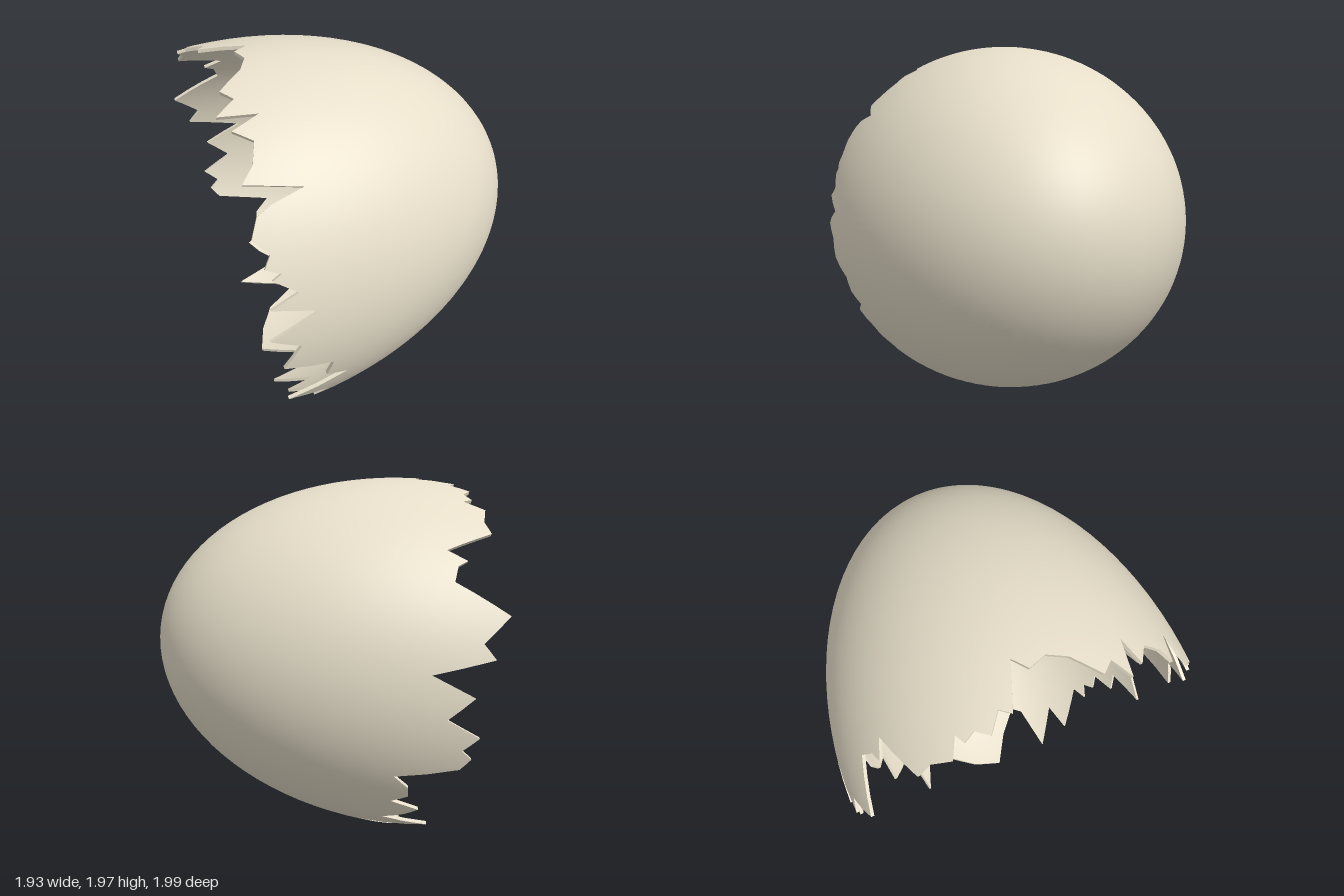
import * as THREE from 'three';

// Egg: half ellipsoid around a tilted axis, LENGTH to the pole, RADIUS at the equator
const LENGTH = 1.5, RADIUS = 0.985, THICKNESS = 0.018, ROWS = 24;
const CENTRE = new THREE.Vector3(-0.39, 0.99, -0.16);
const AXIS = new THREE.Vector3(0.819, 0.16, 0.55).normalize();
const SIDE = new THREE.Vector3(-AXIS.z, 0, AXIS.x).normalize();
const UP = new THREE.Vector3().crossVectors(SIDE, AXIS).multiplyScalar(-1);
if (UP.y < 0) UP.negate();

// Broken edge: [angle round the axis in degrees, distance from the equator]
const LOWER_EDGE = [
  [-174.5, 0.17], [-170, -0.01], [-165.5, 0.06], [-163, 0], [-159, 0.04], [-153, 0.34],
  [-149, 0.25], [-145, 0.23], [-141, 0.3], [-138, 0.14], [-133.5, 0.19], [-128, 0.28],
  [-124, 0.01], [-116, 0.34], [-110, 0.14], [-102, 0.05], [-93, 0], [-87, 0.17],
  [-80, 0.3], [-77, 0.26], [-74.5, 0], [-66, 0.21], [-63.5, 0.05], [-53.5, 0.25],
  [-51, 0.17], [-49, 0.245], [-46, 0.2], [-42.8, 0.26], [-39, 0.14], [-35, 0.21],
  [-30, 0], [-25, 0.31], [-21, 0.2], [-15.4, 0.24], [-10, 0], [-3.3, 0.1],
];
const UPPER_EDGE = [
  [1.5, -0.035], [6, 0.22], [10.7, 0], [13.2, 0.14], [18.3, 0.04], [19.5, 0.085],
  [21.7, 0.02], [25, 0.06], [29.7, 0], [35, 0.05], [37, 0.13], [39, 0.285],
  [43.6, 0.03], [47.8, 0.1], [54, 0.14], [58.2, 0.06], [61.5, 0.2], [63.5, 0.015],
  [68, 0.12], [71.8, 0.07], [79, 0.2], [84.6, 0.245], [90, 0.215], [93.4, 0.285],
  [98.5, 0.06], [101.6, 0.1], [105.7, 0.01], [109.4, 0.06], [112.8, 0.03], [114.6, 0.085],
  [118, -0.02], [124.4, 0.01], [129, -0.015], [131.5, 0.06], [137, 0.23], [140, 0.13],
  [142, 0.18], [147, 0.2], [155, -0.08], [163.5, 0.05], [167.5, -0.02], [173.5, 0.28],
  [178.5, 0.055],
];

// Edge columns, with extra steps where two points lie far apart
function edgeColumns() {
  const points = [...LOWER_EDGE, ...UPPER_EDGE];
  points.push([points[0][0] + 360, points[0][1]]);
  const columns = [];
  for (let i = 0; i < points.length - 1; i++) {
    const [a0, t0] = points[i], [a1, t1] = points[i + 1];
    const steps = Math.ceil((a1 - a0) / 3.5);
    for (let k = 0; k < steps; k++) {
      const f = k / steps;
      columns.push([THREE.MathUtils.degToRad(a0 + (a1 - a0) * f), t0 + (t1 - t0) * f]);
    }
  }
  columns.push([columns[0][0] + Math.PI * 2, columns[0][1]]);
  return columns;
}

// Point and outward normal on the egg; theta runs from the pole to the edge
function eggPoint(angle, theta, inset) {
  const radial = SIDE.clone().multiplyScalar(Math.cos(angle)).addScaledVector(UP, Math.sin(angle));
  const c = Math.cos(theta), s = Math.sin(theta);
  const normal = AXIS.clone().multiplyScalar(c / LENGTH).addScaledVector(radial, s / RADIUS).normalize();
  const point = CENTRE.clone().addScaledVector(AXIS, LENGTH * c)
    .addScaledVector(radial, RADIUS * s).addScaledVector(normal, -inset);
  return { point, normal };
}

// Curved skin from the pole to the broken edge, facing out or in
function skinGeometry(columns, inset, inward) {
  const positions = [], normals = [], index = [], n = columns.length;
  for (let i = 0; i <= ROWS; i++) {
    for (const [angle, t] of columns) {
      const { point, normal } = eggPoint(angle, Math.acos(t / LENGTH) * i / ROWS, inset);
      if (inward) normal.negate();
      positions.push(...point.toArray());
      normals.push(...normal.toArray());
    }
  }
  const tri = (a, b, c) => (inward ? index.push(a, c, b) : index.push(a, b, c));
  for (let i = 0; i < ROWS; i++) {
    for (let j = 0; j < n - 1; j++) {
      const a = i * n + j, b = a + n;
      if (i > 0) tri(a, a + 1, b);
      tri(a + 1, b + 1, b);
    }
  }
  const geometry = new THREE.BufferGeometry();
  geometry.setAttribute('position', new THREE.Float32BufferAttribute(positions, 3));
  geometry.setAttribute('normal', new THREE.Float32BufferAttribute(normals, 3));
  geometry.setIndex(index);
  return geometry;
}

// Narrow flat-faced strip joining the two skins along the break
function edgeGeometry(columns) {
  const positions = [];
  const corner = ([angle, t], inset) => eggPoint(angle, Math.acos(t / LENGTH), inset).point.toArray();
  for (let j = 0; j < columns.length - 1; j++) {
    const a = corner(columns[j], 0), b = corner(columns[j + 1], 0);
    const c = corner(columns[j + 1], THICKNESS), d = corner(columns[j], THICKNESS);
    positions.push(...a, ...b, ...c, ...a, ...c, ...d);
  }
  const geometry = new THREE.BufferGeometry();
  geometry.setAttribute('position', new THREE.Float32BufferAttribute(positions, 3));
  geometry.computeVertexNormals();
  return geometry;
}

export function createModel() {
  const group = new THREE.Group();
  group.name = 'brokenEggshell';
  const shell = new THREE.MeshStandardMaterial({ color: 0xe6dec9 });
  const edge = new THREE.MeshStandardMaterial({ color: 0xe6dec9, side: THREE.DoubleSide });
  const columns = edgeColumns();
  const add = (name, geometry, material) => {
    const mesh = new THREE.Mesh(geometry, material);
    mesh.name = name;
    group.add(mesh);
  };
  add('outerShell', skinGeometry(columns, 0, false), shell);
  add('innerShell', skinGeometry(columns, THICKNESS, true), shell);
  add('brokenEdge', edgeGeometry(columns), edge);
  return group;
}
